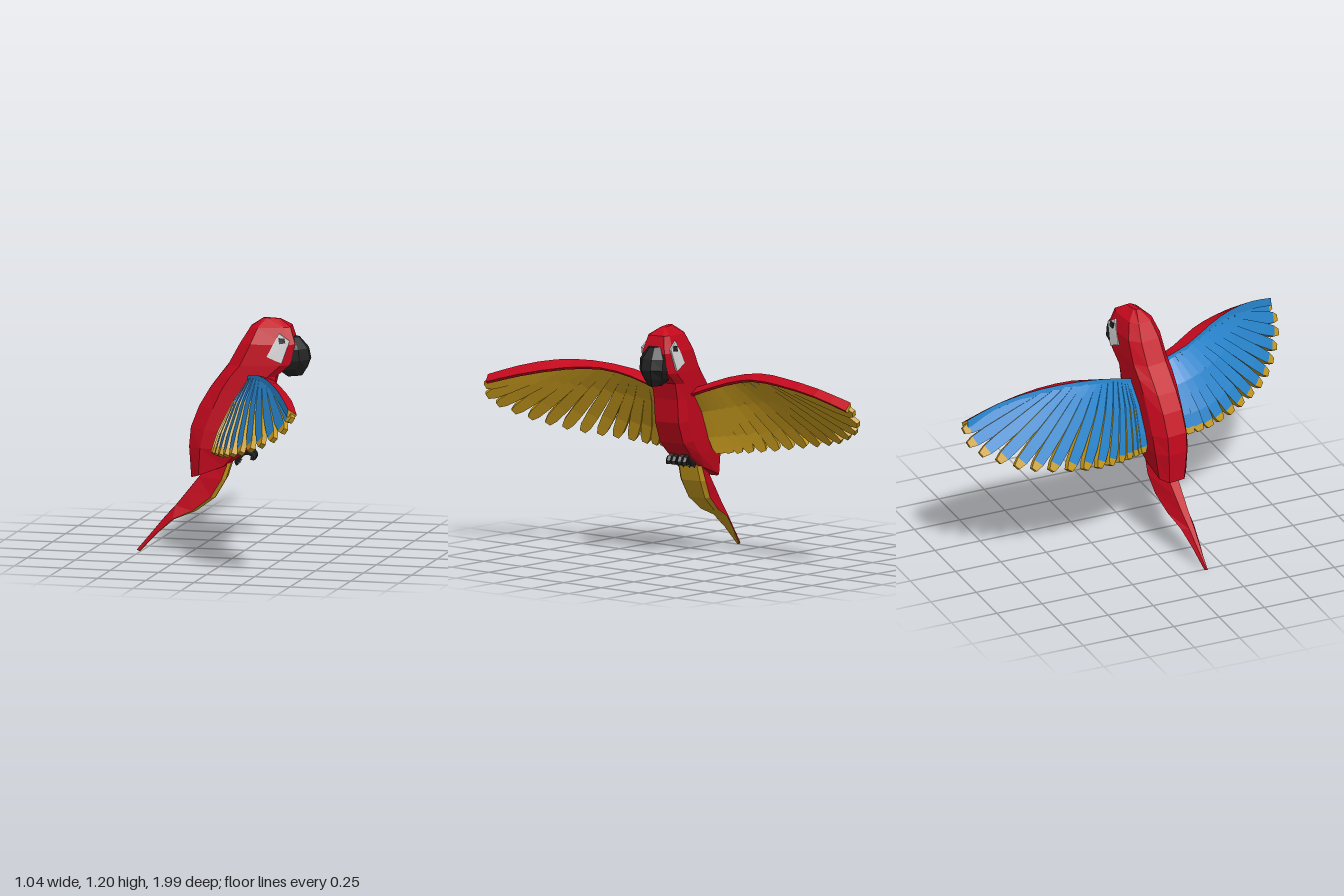
import * as THREE from 'three';

const paintOf = (name, color) => {
  const m = new THREE.MeshStandardMaterial({ color });
  m.name = name;
  return m;
};
const red = paintOf('red plumage', 0xc4081d);
const blue = paintOf('blue feathers', 0x2885cd);
const yellow = paintOf('golden feathers', 0xc89b1e);
const black = paintOf('black horn', 0x212121);
const white = paintOf('pale face skin', 0xd6d6d6);

const v = (x, y, z) => new THREE.Vector3(x, y, z);

// Faceted closed skin through equal rings; paint(side, segment) picks the colour, side -1 is a cap.
function loft(name, rings, paint) {
  const bins = new Map();
  let volume = 0;
  const tri = (m, a, b, c) => {
    if (!bins.has(m)) bins.set(m, []);
    bins.get(m).push([a, b, c]);
    volume += a.dot(b.clone().cross(c));
  };
  const n = rings[0].length;
  for (let i = 0; i < rings.length - 1; i++) {
    for (let j = 0; j < n; j++) {
      const k = (j + 1) % n, m = paint(j, i);
      tri(m, rings[i][j], rings[i][k], rings[i + 1][k]);
      tri(m, rings[i][j], rings[i + 1][k], rings[i + 1][j]);
    }
  }
  [0, rings.length - 1].forEach((i) => {
    const ring = rings[i];
    const mid = ring.reduce((s, p) => s.add(p), v(0, 0, 0)).divideScalar(n);
    for (let j = 0; j < n; j++) {
      const k = (j + 1) % n;
      if (i === 0) tri(paint(-1, i), mid, ring[k], ring[j]);
      else tri(paint(-1, i), mid, ring[j], ring[k]);
    }
  });
  const geometry = new THREE.BufferGeometry(), points = [], mats = [];
  for (const [m, tris] of bins) {
    geometry.addGroup(points.length, tris.length * 3, mats.length);
    mats.push(m);
    tris.forEach(([a, b, c]) => points.push(a, ...(volume < 0 ? [c, b] : [b, c])));
  }
  geometry.setFromPoints(points);
  geometry.computeVertexNormals();
  const mesh = new THREE.Mesh(geometry, mats.length > 1 ? mats : mats[0]);
  mesh.name = name;
  return mesh;
}

// Rings from [backX, backY, frontX, frontY, halfWidth] and a half outline of [back-to-front, width].
function slices(rows, half) {
  const outline = [...half, ...half.slice().reverse().map(([a, w]) => [a, -w])];
  return rows.map(([bx, by, fx, fy, hw]) =>
    outline.map(([a, w]) => v(bx + (fx - bx) * a, by + (fy - by) * a, w * hw)));
}

function foot(side) {
  const g = new THREE.Group();
  g.name = side > 0 ? 'leftFoot' : 'rightFoot';
  const z = side * 0.032;
  const toe = (name, pts, r) => {
    const path = new THREE.CatmullRomCurve3(pts.map(([x, y, dz]) => v(x, y, z + dz)));
    const geo = new THREE.TubeGeometry(path, 5, r, 5).toNonIndexed();
    geo.computeVertexNormals();
    const m = new THREE.Mesh(geo, black);
    m.name = name;
    g.add(m);
  };
  toe('leg', [[0.01, 0.57, 0], [0.012, 0.54, 0], [0.01, 0.51, 0]], 0.019);
  for (const d of [-0.014, 0.014]) {
    toe('frontToe', [[0.01, 0.515, 0], [0.05, 0.521, d], [0.066, 0.506, d], [0.064, 0.485, d]], 0.014);
    toe('backToe', [[0.01, 0.515, 0], [-0.01, 0.49, d], [-0.016, 0.472, d], [-0.008, 0.462, d]], 0.014);
  }
  return g;
}

// Wing: red leading bar along ridge and front edge, then a fan of thick feathers.
function wing(name, side, ridgePts, edgePts, tipPts) {
  const g = new THREE.Group();
  g.name = name;
  const curve = (pts) => new THREE.CatmullRomCurve3(pts.map((p) => v(...p)));
  const ridge = curve(ridgePts), edge = curve(edgePts), tips = curve(tipPts);

  const barPaint = { 0: red, 1: red, 2: yellow, 3: blue, [-1]: yellow };
  const bar = [];
  for (let i = 0; i <= 10; i++) {
    const a = ridge.getPoint(i / 10), b = edge.getPoint(i / 10);
    bar.push([a, b, b.clone().add(v(-0.012, -0.012, 0)), a.clone().add(v(-0.008, -0.04, 0))]);
  }
  g.add(loft('leadingEdge', bar, (j) => barPaint[j]));

  const count = 16;
  const steps = [[0, 0.02], [0.35, 0.028], [0.75, 0.032], [0.92, 0.028], [1, 0.016]];
  for (let i = 0; i < count; i++) {
    // feathers stand further apart towards the wing tip
    const f = Math.pow(i / (count - 1), 1.5);
    const base = ridge.getPoint(0.03 + 0.6 * f), tip = tips.getPoint(f);
    const along = tip.clone().sub(base).normalize();
    const across = tips.getTangent(f);
    across.addScaledVector(along, -across.dot(along)).normalize();
    const up = along.clone().cross(across).multiplyScalar(side);
    // shingle tilt: outer edge lies over the next feather
    across.addScaledVector(up, 0.15).normalize();
    up.copy(along).cross(across).multiplyScalar(side);
    const thick = 0.016 - 0.004 * f, bow = 0.026 * (1 - f);
    const rings = steps.map(([t, w]) => {
      const c = base.clone().lerp(tip, t).addScaledVector(up, bow * Math.sin(Math.PI * t) - thick - 0.004 * (1 - t));
      c.addScaledVector(across, -0.024 * f * (1 - t));
      c.y -= 0.008 * (1 - t);
      const at = (x, y) => c.clone().addScaledVector(across, x * w).addScaledVector(up, y * thick);
      return [at(-1, 1), at(1, 1), at(1, -1), at(-1, -1)];
    });
    g.add(loft('feather', rings, (j, s) => ((j === 0 && s < 3) || (j !== 2 && s === 0) ? blue : yellow)));
  }
  return g;
}

export function createModel() {
  const model = new THREE.Group();
  model.name = 'parrot';

  // Head, body and tail share one slightly turned frame
  const torso = new THREE.Group();
  torso.name = 'torso';
  torso.rotation.y = 0.148;
  torso.position.z = 0.075;
  model.add(torso);

  torso.add(loft('body', slices([
    [0.115, 1.205, 0.2, 1.2, 0.014],
    [0.05, 1.16, 0.255, 1.165, 0.066],
    [0.0, 1.08, 0.28, 1.08, 0.094],
    [-0.06, 0.97, 0.255, 0.975, 0.099],
    [-0.11, 0.905, 0.185, 0.915, 0.1],
    [-0.155, 0.845, 0.165, 0.83, 0.1],
    [-0.205, 0.76, 0.155, 0.71, 0.1],
    [-0.248, 0.65, 0.11, 0.6, 0.1],
    [-0.257, 0.55, 0.04, 0.535, 0.097],
    [-0.247, 0.39, -0.05, 0.465, 0.08],
  ], [[0, 0.55], [0.2, 1], [0.85, 0.95], [1, 0.7]]), () => red));

  torso.add(loft('tail', slices([
    [-0.15, 0.48, -0.04, 0.48, 0.07],
    [-0.21, 0.39, -0.07, 0.385, 0.075],
    [-0.27, 0.315, -0.125, 0.29, 0.065],
    [-0.33, 0.24, -0.225, 0.217, 0.052],
    [-0.385, 0.18, -0.335, 0.172, 0.04],
    [-0.455, 0.095, -0.42, 0.098, 0.024],
    [-0.528, 0.008, -0.51, 0.002, 0.007],
  ], [[0, 0.35], [0.85, 1], [1, 0.75]]), (j) => (j >= 1 && j <= 3 ? yellow : red)));

  torso.add(loft('beak', slices([
    [0.23, 1.115, 0.295, 1.11, 0.035],
    [0.23, 1.05, 0.34, 1.055, 0.068],
    [0.23, 0.99, 0.352, 1.0, 0.068],
    [0.2, 0.945, 0.335, 0.955, 0.052],
    [0.24, 0.91, 0.31, 0.915, 0.025],
  ], [[0, 1], [0.6, 1], [1, 0.4]]), () => black));

  // Pale cheeks and eyes on both sides
  for (const s of [1, -1]) {
    const plate = (name, corners, depth, mat) => torso.add(loft(name,
      [0, -depth].map((d) => corners.map(([x, y, w]) => v(x, y, s * (w + d)))), () => mat));
    plate('facePatch', [[0.2, 1.137, 0.083], [0.255, 1.1, 0.089], [0.215, 0.985, 0.101], [0.14, 1.02, 0.101]], 0.009, white);
    plate('eye', [[0.198, 1.112, 0.092], [0.227, 1.114, 0.091], [0.234, 1.09, 0.094], [0.203, 1.085, 0.097]], 0.008, black);
    torso.add(foot(s));
  }

  model.add(wing('leftWing', 1,
    [[0.07, 0.9, 0.13], [0.1, 0.95, 0.32], [0.2, 0.985, 0.5], [0.3, 0.985, 0.66], [0.4, 0.95, 0.82], [0.48, 0.9, 0.96]],
    [[0.14, 0.87, 0.12], [0.17, 0.925, 0.28], [0.24, 0.96, 0.42], [0.33, 0.955, 0.58], [0.45, 0.915, 0.78], [0.52, 0.868, 0.94]],
    [[-0.09, 0.55, 0.2], [-0.08, 0.56, 0.36], [-0.02, 0.58, 0.52], [0.06, 0.6, 0.66], [0.15, 0.63, 0.78],
      [0.25, 0.67, 0.87], [0.35, 0.72, 0.94], [0.445, 0.78, 0.985], [0.49, 0.85, 0.97]]));

  model.add(wing('rightWing', -1,
    [[0.02, 0.87, 0], [-0.05, 0.94, -0.18], [-0.08, 0.975, -0.36], [-0.065, 0.97, -0.55], [-0.06, 0.94, -0.78], [-0.08, 0.89, -0.97]],
    [[0.08, 0.84, 0], [0.0, 0.915, -0.2], [-0.01, 0.95, -0.36], [-0.005, 0.945, -0.55], [-0.015, 0.91, -0.78], [-0.03, 0.855, -0.98]],
    [[-0.16, 0.54, -0.03], [-0.22, 0.55, -0.17], [-0.27, 0.57, -0.32], [-0.29, 0.6, -0.48], [-0.28, 0.63, -0.64],
      [-0.25, 0.66, -0.77], [-0.2, 0.71, -0.89], [-0.145, 0.765, -0.98], [-0.09, 0.84, -0.995]]));

  return model;
}
